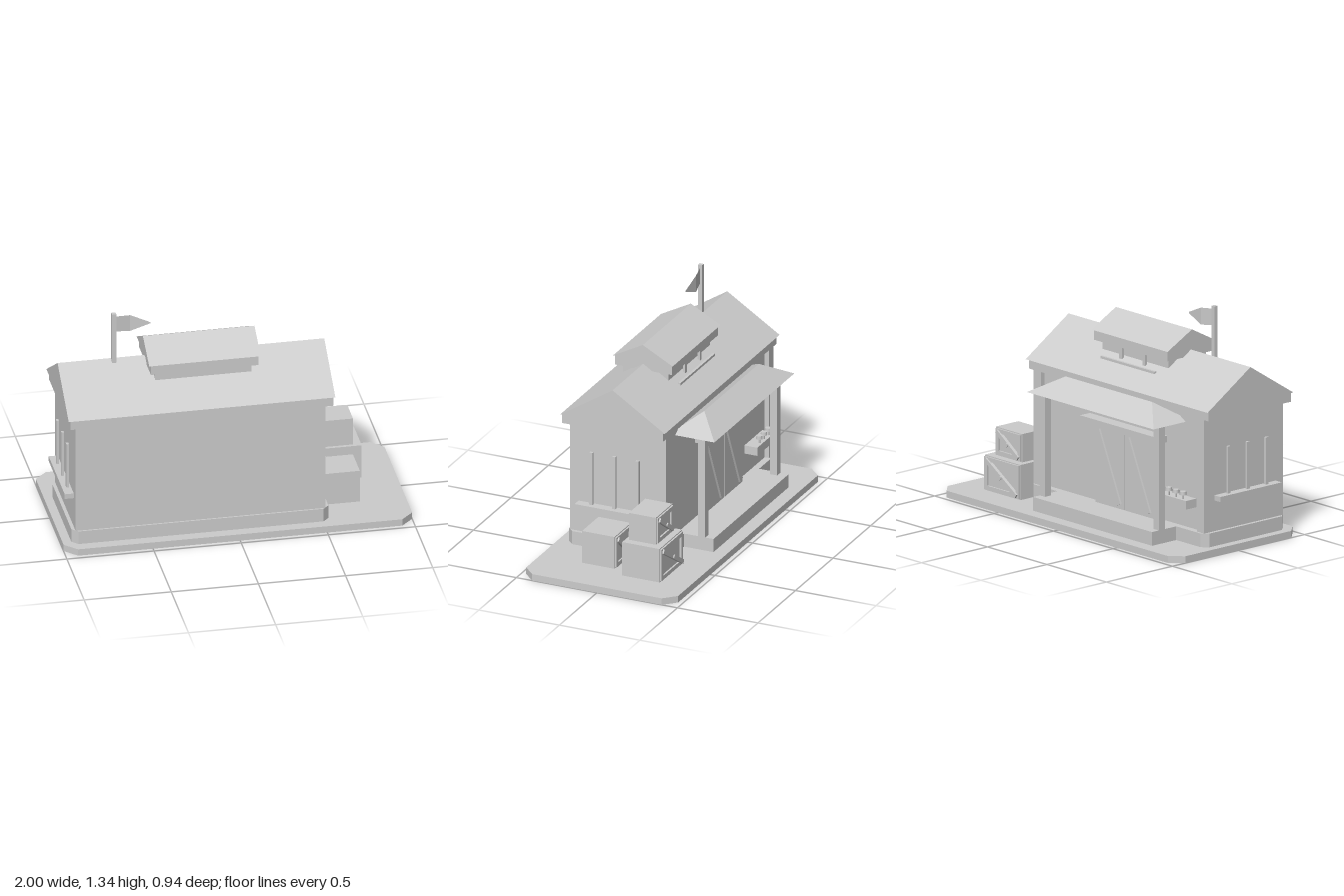
import * as THREE from 'three';
import { ConvexGeometry } from 'three/addons/geometries/ConvexGeometry.js';

// double sided because the ground slab, step, crates and flag are open shells
const gray = new THREE.MeshStandardMaterial({ color: 0xcccccc, side: THREE.DoubleSide });
gray.name = 'plain gray';

// drops the faces that point straight down
function openBottom(geometry) {
  const g = geometry.index ? geometry.toNonIndexed() : geometry;
  const p = g.attributes.position, n = g.attributes.normal;
  const pos = [], nor = [];
  for (let i = 0; i < p.count; i++) {
    if (n.getY(i) < -0.9) continue;
    pos.push(p.getX(i), p.getY(i), p.getZ(i));
    nor.push(n.getX(i), n.getY(i), n.getZ(i));
  }
  const open = new THREE.BufferGeometry();
  open.setAttribute('position', new THREE.Float32BufferAttribute(pos, 3));
  open.setAttribute('normal', new THREE.Float32BufferAttribute(nor, 3));
  return open;
}

export function createModel() {
  const model = new THREE.Group();
  model.name = 'station';

  const add = (name, geometry, parent = model) => {
    const mesh = new THREE.Mesh(geometry, gray);
    mesh.name = name;
    parent.add(mesh);
    return mesh;
  };
  // box given by its limits on each axis
  const box = (name, x0, x1, y0, y1, z0, z1, parent = model) => {
    const mesh = add(name, new THREE.BoxGeometry(x1 - x0, y1 - y0, z1 - z0), parent);
    mesh.position.set((x0 + x1) / 2, (y0 + y1) / 2, (z0 + z1) / 2);
    return mesh;
  };
  // slab with cut corners
  const slab = (name, x0, x1, y0, y1, z0, z1, c) => {
    const s = new THREE.Shape([
      [x0 + c, -z1], [x1 - c, -z1], [x1, -z1 + c], [x1, -z0 - c],
      [x1 - c, -z0], [x0 + c, -z0], [x0, -z0 - c], [x0, -z1 + c],
    ].map(([x, y]) => new THREE.Vector2(x, y)));
    const g = new THREE.ExtrudeGeometry(s, { depth: y1 - y0, bevelEnabled: false });
    g.rotateX(-Math.PI / 2);
    const mesh = add(name, openBottom(g));
    mesh.position.y = y0;
  };
  // roof over a rectangle; inset 0 gives gables, more gives hipped ends
  const roof = (name, x0, x1, y0, y1, z0, z1, inset = 0) => {
    const zm = (z0 + z1) / 2;
    add(name, new ConvexGeometry([
      [x0, y0, z0], [x1, y0, z0], [x0, y0, z1], [x1, y0, z1],
      [x0 + inset, y1, zm], [x1 - inset, y1, zm],
    ].map((p) => new THREE.Vector3(...p))));
  };
  // slanted board on a back face, from (xa, ya) to (xb, yb)
  const brace = (name, xa, ya, xb, yb, z0, z1, width, parent = model) => {
    const mesh = box(name, 0, Math.hypot(xb - xa, yb - ya), 0, width, z0, z1, parent);
    mesh.position.set((xa + xb) / 2, (ya + yb) / 2, (z0 + z1) / 2);
    mesh.rotation.z = Math.atan2(yb - ya, xb - xa);
  };

  // hollow ground slab and building
  slab('groundSlab', -1, 1, 0, 0.04, -0.472, 0.472, 0.07);
  slab('plinth', -0.95, 0.525, 0.04, 0.12, -0.21, 0.41, 0.035);
  box('walls', -0.93, 0.503, 0.12, 0.785, -0.17, 0.4);
  box('rightCornerPost', 0.443, 0.503, 0.12, 0.785, -0.197, -0.17);
  box('leftCornerPost', -0.93, -0.87, 0.12, 0.785, -0.197, -0.17);
  box('eaveBand', -0.966, 0.543, 0.782, 0.837, -0.197, 0.43);
  roof('mainRoof', -0.977, 0.553, 0.837, 1.045, -0.213, 0.437);

  // barred windows with ledges on both end walls
  for (const z of [0.257, 0.115, -0.03]) {
    box('rightWindowBar', 0.514, 0.53, 0.305, 0.625, z - 0.01, z + 0.01);
    box('leftWindowBar', -0.957, -0.942, 0.33, 0.605, z - 0.01, z + 0.01);
  }
  box('rightWindowLedge', 0.503, 0.558, 0.275, 0.305, -0.12, 0.345);
  box('leftWindowLedge', -0.982, -0.93, 0.3, 0.33, -0.12, 0.345);

  // porch on the back, its step reaching down into the slab
  const step = add('porchStep', openBottom(new THREE.BoxGeometry(1, 0.108, 0.223)));
  step.position.set(-0.21, 0.066, -0.2815);
  for (const x of [-0.69, 0.27])
    box('porchPost', x - 0.0225, x + 0.0225, 0.12, 0.735, -0.342, -0.297);
  roof('porchRoof', -0.745, 0.322, 0.73, 0.83, -0.413, -0.13, 0.17);

  // double door with slanted boards and a lintel
  for (const x of [-0.515, -0.265]) {
    box('doorPanel', x + 0.003, x + 0.247, 0.12, 0.575, -0.2, -0.17);
    brace('doorBrace', x + 0.22, 0.55, x + 0.04, 0.145, -0.212, -0.2, 0.035);
  }
  box('doorLintel', -0.59, 0.06, 0.58, 0.617, -0.245, -0.17);

  // flower box on the back wall
  box('flowerBox', -0.835, -0.6, 0.25, 0.3, -0.25, -0.17);
  for (const x of [-0.79, -0.73, -0.67]) {
    const stem = add('flowerStem', new THREE.CylinderGeometry(0.006, 0.006, 0.03, 6));
    stem.position.set(x, 0.315, -0.23);
    const bloom = add('flowerBloom', new THREE.CylinderGeometry(0.018, 0.02, 0.02, 8));
    bloom.position.set(x, 0.335, -0.23);
  }

  // roof lantern
  box('lanternBase', -0.445, 0.108, 0.955, 1.01, -0.03, 0.255);
  box('lanternBand', -0.476, 0.142, 1.008, 1.067, -0.065, 0.287);
  roof('lanternRoof', -0.487, 0.153, 1.067, 1.165, -0.075, 0.295);
  for (const x of [-0.265, -0.07])
    box('lanternPost', x - 0.012, x + 0.012, 0.93, 1.01, -0.055, -0.04);
  box('lanternRail', -0.39, 0.067, 0.915, 0.933, -0.085, -0.07);

  // flagpole and folded pennant
  box('flagPole', -0.67, -0.645, 1.0, 1.335, 0.115, 0.14);
  const sections = [
    [-0.645, 1.22, 1.315, 0.128], [-0.56, 1.207, 1.307, 0.112], [-0.445, 1.25, 1.256, 0.124],
  ];
  const cloth = new THREE.PlaneGeometry(1, 1, 2, 1);
  sections.forEach(([x, low, high, z], i) => {
    cloth.attributes.position.setXYZ(i, x, high, z);
    cloth.attributes.position.setXYZ(i + 3, x, low, z);
  });
  const flag = cloth.toNonIndexed();
  flag.computeVertexNormals();
  add('flag', flag);

  // crates with a framed, braced face on the back; only y0 and up is above ground
  const crate = (x0, x1, y0, y1, z0, z1) => {
    const g = new THREE.Group();
    g.name = 'crate';
    model.add(g);
    const w = 0.025, f = z0 - 0.01, e = 0.006;
    const base = y0 < 0.1 ? 0.012 : y0;
    const body = add('crateBody', openBottom(new THREE.BoxGeometry(x1 - x0, y1 - base, z1 - z0)), g);
    body.position.set((x0 + x1) / 2, (base + y1) / 2, (z0 + z1) / 2);
    for (const y of [y0 + e, y1 - w - e]) box('crateRail', x0 + e, x1 - e, y, y + w, f, z0, g);
    for (const x of [x0 + e, x1 - w - e])
      box('crateStile', x, x + w, y0 + w + e, y1 - w - e, f, z0, g);
    brace('crateBrace', x1 - 0.02, y1 - 0.02, x0 + 0.02, y0 + 0.02, f - 0.01, z0, w, g);
    const knob = add('crateKnob', new THREE.CylinderGeometry(0.013, 0.013, 0.01, 8), g);
    knob.rotation.x = Math.PI / 2;
    knob.position.set((x0 + x1) / 2, (y0 + y1) / 2, f - 0.012);
  };
  crate(0.518, 0.737, 0.04, 0.235, 0.013, 0.215);
  crate(0.503, 0.803, 0.04, 0.245, -0.297, -0.065);
  crate(0.537, 0.757, 0.245, 0.41, -0.253, -0.085);

  return model;
}
